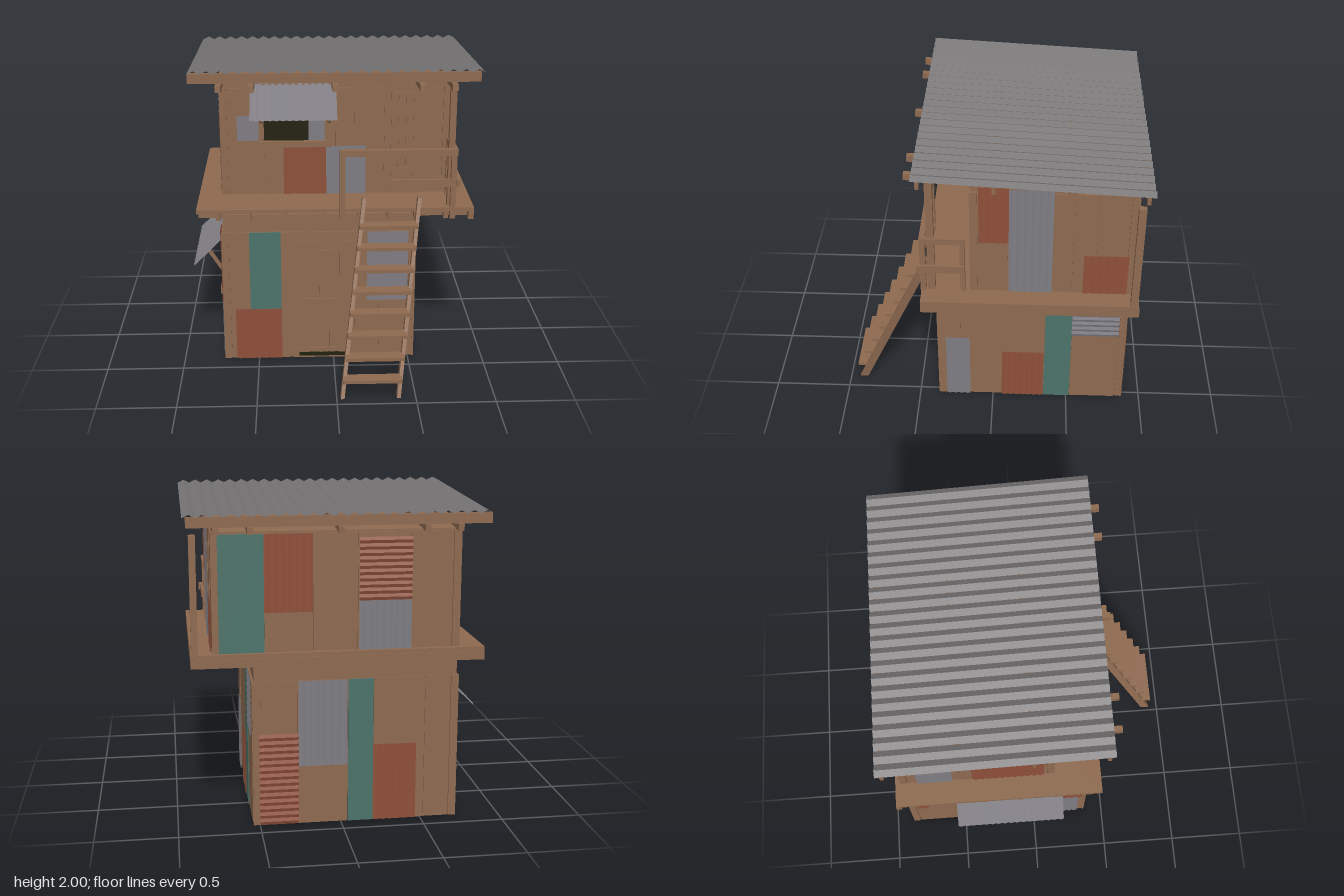
import * as THREE from 'three';

const mat = (name, color, extra = {}) => Object.assign(new THREE.MeshStandardMaterial({ color, ...extra }), { name });

export function createModel() {
  const root = new THREE.Group();
  root.name = 'twoStoreyShack';
  const D = { side: THREE.DoubleSide, flatShading: true };
  const wood = mat('wood', 0x8e6a50);
  const roofTin = mat('roofTin', 0x767374, D);
  const grey = mat('greyTin', 0x807e84, D);
  const red = mat('rustTin', 0x90503b, D);
  const teal = mat('tealPaint', 0x4c736a);
  const rust = mat('rustPaint', 0x8b5039);
  const dark = mat('darkOpening', 0x22220f);

  // box given by its limits on each axis
  const box = (g, name, x0, x1, y0, y1, z0, z1, m = wood) => {
    const b = new THREE.Mesh(new THREE.BoxGeometry(x1 - x0, y1 - y0, z1 - z0), m);
    b.position.set((x0 + x1) / 2, (y0 + y1) / 2, (z0 + z1) / 2);
    b.name = name;
    g.add(b);
    return b;
  };
  // moves the upper corners of a box by a rule
  const moveTop = (mesh, rule) => {
    const p = mesh.geometry.attributes.position, v = new THREE.Vector3();
    for (let i = 0; i < p.count; i++) {
      v.fromBufferAttribute(p, i);
      if (v.y > 0) { rule(v); p.setXYZ(i, v.x, v.y, v.z); }
    }
    mesh.geometry.computeVertexNormals();
  };
  // bar running from point a to point b
  const bar = (g, name, a, b, w, h, m = wood) => {
    const p = new THREE.Vector3(...a), q = new THREE.Vector3(...b);
    const s = new THREE.Mesh(new THREE.BoxGeometry(w, h, p.distanceTo(q)), m);
    s.position.copy(p).lerp(q, 0.5);
    s.lookAt(q);
    s.name = name;
    g.add(s);
  };
  // corrugated sheet with ridges running along its height
  const sheet = (w, h, pitch, amp, m) => {
    const n = Math.max(2, Math.round(w / pitch));
    const geo = new THREE.PlaneGeometry(w, h, n * 4, 1), p = geo.attributes.position;
    for (let i = 0; i < p.count; i++) {
      const t = (p.getX(i) / w + 0.5) * n * Math.PI * 2;
      p.setZ(i, amp * (1 - Math.cos(t)) / 2);
    }
    geo.computeVertexNormals();
    return new THREE.Mesh(geo, m);
  };
  // wall frame: x runs along the wall, y up, z outward
  const wall = (name, angle, dist) => {
    const g = new THREE.Group();
    g.name = name;
    g.rotation.y = angle;
    g.position.set(Math.sin(angle) * dist, 0, Math.cos(angle) * dist);
    root.add(g);
    return g;
  };
  const planks = (g, seams, y0, y1) => {
    for (let i = 0; i + 1 < seams.length; i++)
      box(g, 'wallPlank', seams[i] + (i ? 0.003 : 0), seams[i + 1] - (i + 2 < seams.length ? 0.003 : 0), y0, y1, -0.014, i % 2 ? -0.004 : 0);
  };
  const tin = (g, u0, u1, y0, y1, m, sideways = false) => {
    const w = u1 - u0, h = y1 - y0;
    const s = sideways ? sheet(h, w, 0.04, 0.007, m) : sheet(w, h, 0.042, 0.007, m);
    if (sideways) s.rotation.z = Math.PI / 2;
    s.position.set((u0 + u1) / 2, (y0 + y1) / 2, 0.002);
    s.name = 'tinPatch';
    g.add(s);
  };
  const panel = (g, name, u0, u1, y0, y1, m) => box(g, name, u0, u1, y0, y1, -0.004, 0.004, m);
  // propped tin awning over a window
  const awning = (g, u0, u1, top) => {
    const s = sheet(u1 - u0, 0.275, 0.042, 0.009, grey);
    s.rotation.x = -Math.PI / 4;
    s.position.set((u0 + u1) / 2, top - 0.097, 0.1);
    s.name = 'awning';
    g.add(s);
    for (const u of [u0 + 0.07, u1 - 0.045])
      bar(g, 'awningProp', [u, top - 0.26, 0], [u, top - 0.1, 0.1], 0.022, 0.022);
    box(g, 'windowSill', u0 + 0.05, u1 - 0.03, top - 0.42, top - 0.38, 0, 0.03);
    box(g, 'windowHead', u0 + 0.05, u1 - 0.03, top - 0.035, top, 0, 0.012);
    for (const u of [u0 + 0.05, u1 - 0.06]) box(g, 'windowJamb', u, u + 0.03, top - 0.38, top - 0.035, 0, 0.012);
  };
  // plank door with a frame and cross boards
  const door = (g, u0, u1, y0, y1, n, ledges) => {
    panel(g, 'doorFrame', u0, u1, y0, y1, wood);
    const a = u0 + 0.04, w = (u1 - u0 - 0.08) / n;
    for (let i = 0; i < n; i++)
      box(g, 'doorBoard', a + i * w + 0.003, a + (i + 1) * w - 0.003, y0 + 0.04, y1 - 0.06, 0, i % 2 ? 0.009 : 0.013);
    for (const y of ledges) box(g, 'doorLedge', a, u1 - 0.12, y, y + 0.03, 0.008, 0.022);
  };

  // storey cores; the upper one slopes with the roof
  box(root, 'lowerCore', -0.718, 0.528, 0, 1.03, -0.868, 0.358);
  const upper = box(root, 'upperCore', -0.718, 0.758, 1.07, 1.84, -0.858, 0.118);
  moveTop(upper, v => { v.y += v.z * 0.055; });

  const H = Math.PI / 2;
  // lower front
  const lf = wall('lowerFrontWall', 0, 0.37);
  planks(lf, [-0.73, -0.68, -0.44, -0.29, -0.1, 0.14, 0.3, 0.49, 0.54], 0, 0.91);
  panel(lf, 'tealPanel', -0.55, -0.345, 0.365, 0.91, teal);
  tin(lf, -0.65, -0.345, 0, 0.365, red);
  tin(lf, 0.22, 0.49, 0.42, 0.91, grey);
  door(lf, -0.27, 0.14, 0, 0.845, 5, [0.05, 0.41]);
  box(lf, 'doorGap', -0.23, 0.105, 0.015, 0.042, 0.005, 0.014, dark);
  // lower right side
  const lr = wall('lowerRightWall', H, 0.54);
  planks(lr, [-0.37, -0.21, 0.07, 0.34, 0.52, 0.83, 0.88], 0, 0.91);
  tin(lr, -0.315, -0.155, 0, 0.5, grey);
  tin(lr, 0.06, 0.34, 0, 0.385, red);
  panel(lr, 'tealPanel', 0.345, 0.52, 0, 0.91, teal);
  tin(lr, 0.52, 0.83, 0.54, 0.91, grey, true);
  // lower back
  const lb = wall('lowerBackWall', Math.PI, 0.88);
  planks(lb, [-0.54, -0.49, -0.27, 0.04, 0.2, 0.52, 0.68, 0.73], 0, 0.91);
  tin(lb, -0.5, -0.26, 0, 0.58, red, true);
  tin(lb, -0.26, 0.04, 0.37, 0.91, grey);
  panel(lb, 'tealPanel', 0.045, 0.2, 0, 0.91, teal);
  tin(lb, 0.2, 0.47, 0, 0.49, red);
  // lower left side
  const ll = wall('lowerLeftWall', -H, 0.73);
  planks(ll, [-0.88, -0.83, -0.55, -0.2, 0.15, 0.32, 0.37], 0, 0.91);
  panel(ll, 'windowOpening', -0.45, 0.13, 0.42, 0.77, dark);
  awning(ll, -0.53, 0.19, 0.8);
  tin(ll, -0.48, -0.27, 0, 0.22, grey);
  tin(ll, 0.13, 0.32, 0, 0.4, grey);
  tin(ll, 0.2, 0.34, 0.4, 0.91, red);
  tin(ll, -0.82, -0.74, 0.4, 0.91, red);

  // upper front
  const uf = wall('upperFrontWall', 0, 0.13);
  planks(uf, [-0.73, -0.68, -0.44, -0.3, 0.02, 0.14, 0.34, 0.61, 0.72, 0.77], 1.09, 1.81);
  panel(uf, 'windowOpening', -0.445, -0.155, 1.46, 1.8, dark);
  tin(uf, -0.62, -0.48, 1.46, 1.63, grey);
  tin(uf, -0.155, -0.05, 1.46, 1.66, grey);
  awning(uf, -0.53, 0.025, 1.84);
  panel(uf, 'rustPanel', -0.32, -0.04, 1.09, 1.42, rust);
  tin(uf, -0.04, 0.22, 1.09, 1.42, grey);
  door(uf, 0.34, 0.615, 1.09, 1.84, 4, [1.24]);
  // upper right side
  const ur = wall('upperRightWall', H, 0.77);
  planks(ur, [-0.13, -0.08, 0.1, 0.37, 0.49, 0.63, 0.82, 0.87], 1.09, 1.81);
  tin(ur, -0.075, 0.105, 1.455, 1.85, red);
  tin(ur, 0.105, 0.37, 1.09, 1.84, grey);
  tin(ur, 0.56, 0.83, 1.09, 1.375, red);
  // upper back
  const ub = wall('upperBackWall', Math.PI, 0.87);
  planks(ub, [-0.77, -0.72, -0.46, -0.17, 0.1, 0.42, 0.68, 0.73], 1.09, 1.8);
  panel(ub, 'tealPanel', -0.73, -0.46, 1.09, 1.8, teal);
  tin(ub, -0.46, -0.17, 1.33, 1.8, red);
  tin(ub, 0.11, 0.43, 1.39, 1.77, red, true);
  tin(ub, 0.11, 0.43, 1.09, 1.39, grey);
  // upper left side
  const ul = wall('upperLeftWall', -H, 0.73);
  planks(ul, [-0.87, -0.82, -0.5, -0.4, 0.08, 0.13], 1.09, 1.81);
  tin(ul, -0.76, -0.53, 1.09, 1.42, grey);
  tin(ul, -0.76, -0.53, 1.42, 1.78, red);
  tin(ul, -0.38, 0.06, 1.62, 1.82, grey, true);
  tin(ul, -0.4, 0.06, 1.09, 1.62, red);

  // deck with joists below
  box(root, 'deck', -0.88, 0.9, 1.065, 1.09, -0.9, 0.43);
  box(root, 'backRim', -0.88, 0.9, 1.01, 1.065, -0.905, -0.87);
  box(root, 'rightRim', 0.865, 0.9, 1.01, 1.065, -0.9, 0.43);
  box(root, 'innerBeam', 0.53, 0.57, 1.01, 1.065, -0.88, 0.37);
  for (const x of [-0.74, -0.545, -0.31, -0.06, 0.17, 0.36, 0.53, 0.72])
    box(root, 'frontJoist', x - 0.015, x + 0.015, 1.015, 1.065, 0.3, 0.425);
  for (const z of [0.35, 0.14, -0.1, -0.34, -0.58, -0.8]) {
    box(root, 'rightJoist', 0.5, 0.87, 1.015, 1.065, z - 0.018, z + 0.018);
    box(root, 'leftJoist', -0.87, -0.7, 1.015, 1.065, z - 0.018, z + 0.018);
  }

  // balcony posts and railing
  box(root, 'frontRoofPost', 0.73, 0.77, 1.09, 1.87, 0.345, 0.39);
  box(root, 'backPost', 0.855, 0.895, 1.09, 1.8, -0.895, -0.85);
  box(root, 'railPostLeft', 0.037, 0.072, 1.015, 1.45, 0.405, 0.435);
  box(root, 'railPostCorner', 0.745, 0.78, 1.015, 1.45, 0.4, 0.435);
  box(root, 'railPostWall', 0.745, 0.78, 1.09, 1.45, 0.16, 0.19);
  box(root, 'topRail', 0.037, 0.785, 1.44, 1.48, 0.4, 0.435);
  box(root, 'sideTopRail', 0.745, 0.785, 1.44, 1.48, 0.16, 0.435);
  box(root, 'midRail', 0.355, 0.805, 1.235, 1.285, 0.425, 0.445);
  box(root, 'sideMidRail', 0.775, 0.795, 1.235, 1.285, 0.16, 0.455);

  // slanted ladder with treads standing out in front
  const ladder = new THREE.Group();
  ladder.name = 'ladder';
  root.add(ladder);
  for (const x of [0.025, 0.38])
    moveTop(box(ladder, 'stringer', x, x + 0.024, 0, 1.16, 0.883, 0.938), v => { v.x += 0.157; v.z -= 0.505; });
  for (let i = 0; i < 8; i++) {
    const y = 0.12 + i * 0.126, x = 0.04 + i * 0.017, z = 0.942 - i * 0.0565;
    box(ladder, 'tread', x, x + 0.372, y - 0.011, y + 0.011, z - 0.085, z);
  }

  // roof framing and corrugated roof
  for (const x of [-0.71, -0.51, 0.005, 0.54, 0.74])
    bar(root, 'rafter', [x, 1.822, -0.92], [x, 1.9, 0.51], 0.035, 0.04);
  for (const z of [0.415, -0.02, -0.46, -0.9]) {
    const y = 1.926 + (z + 0.02) * 0.054;
    box(root, 'purlin', -0.9, 0.91, y - 0.034, y + 0.03, z - 0.011, z + 0.011);
  }
  const roof = sheet(1.83, 1.392, 0.079, 0.02, roofTin);
  roof.name = 'roof';
  roof.rotation.x = -H - Math.atan(0.054);
  roof.position.set(0.015, 1.943, -0.243);
  root.add(roof);

  return root;
}
